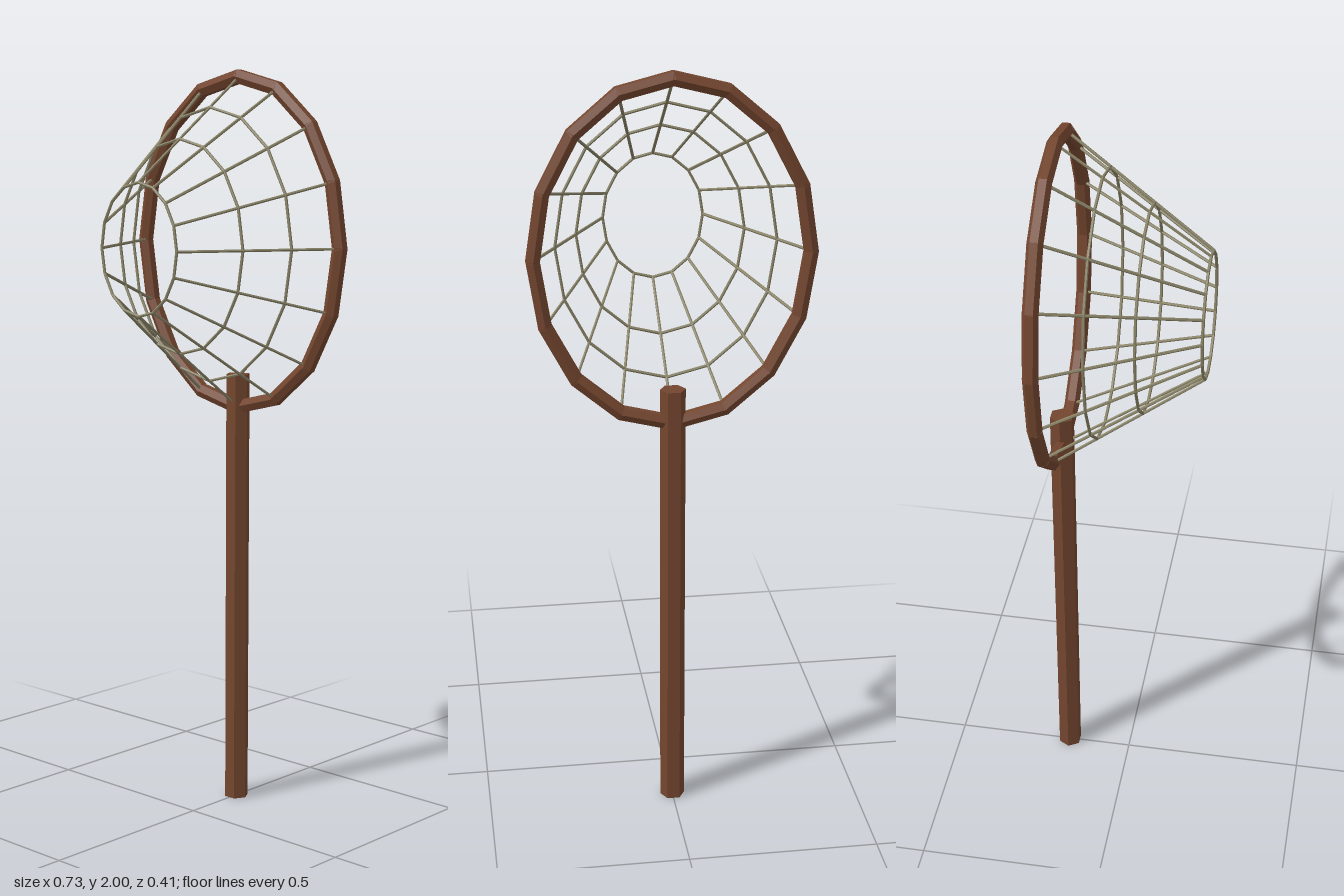
import * as THREE from 'three';

const wood = new THREE.MeshStandardMaterial({ color: 0x74462f, flatShading: true });
const cord = new THREE.MeshStandardMaterial({ color: 0x8a8468, flatShading: true });

const SIDES = 16, CY = 1.54, RX = 0.347, RY = 0.44;
const Z_HOOP = -0.177, Z_END = 0.202, END_SCALE = 0.385;
const UP = new THREE.Vector3(0, 1, 0);

// Point on the net: i counts around the oval, t runs from hoop (0) to small end (1)
function netPoint(i, t) {
  const a = (i / SIDES) * Math.PI * 2;
  const s = THREE.MathUtils.lerp(1, END_SCALE, t);
  return new THREE.Vector3(
    Math.cos(a) * RX * s,
    CY + Math.sin(a) * RY * s,
    THREE.MathUtils.lerp(Z_HOOP, Z_END, t)
  );
}

// Straight six-sided rod between two points, lengthened a little to overlap at joints
function rod(name, a, b, radius, material, overlap = 0) {
  const dir = b.clone().sub(a);
  const length = dir.length();
  const mesh = new THREE.Mesh(new THREE.CylinderGeometry(radius, radius, length + overlap, 6), material);
  mesh.position.copy(a).add(b).multiplyScalar(0.5);
  mesh.quaternion.setFromUnitVectors(UP, dir.normalize());
  mesh.name = name;
  return mesh;
}

// Closed oval ring of straight rods
function ring(name, t, radius, material, overlap) {
  const group = new THREE.Group();
  group.name = name;
  for (let i = 0; i < SIDES; i++) {
    group.add(rod(name + 'Segment', netPoint(i, t), netPoint(i + 1, t), radius, material, overlap));
  }
  return group;
}

export function createModel() {
  const model = new THREE.Group();
  model.name = 'handNet';

  // Pole
  const pole = new THREE.Mesh(new THREE.CylinderGeometry(0.033, 0.033, 1.19, 6), wood);
  pole.name = 'pole';
  pole.rotation.y = Math.PI / 6;
  pole.position.set(0, 0.595, Z_HOOP);
  model.add(pole);

  // Wooden hoop
  model.add(ring('hoop', 0, 0.02, wood, 0.008));

  // Net: cross rings and lengthwise cords
  const net = new THREE.Group();
  net.name = 'net';
  for (const t of [0.3, 0.6, 1]) net.add(ring('netRing', t, 0.004, cord, 0.001));
  for (let i = 0; i < SIDES; i++) {
    net.add(rod('netCord', netPoint(i, 0), netPoint(i, 1), 0.004, cord));
  }
  model.add(net);

  return model;
}
